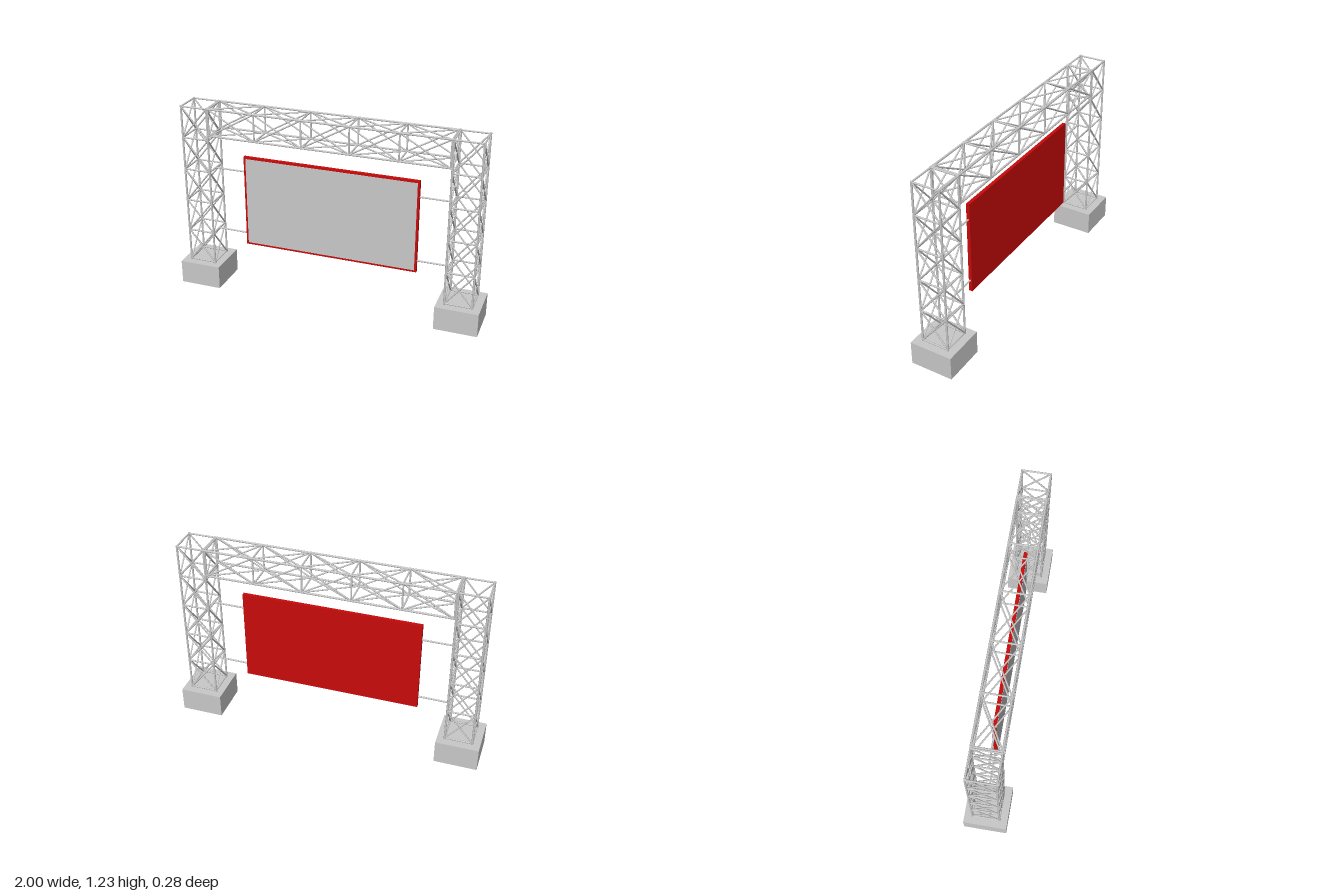
import * as THREE from 'three';

const steel = new THREE.MeshStandardMaterial({ name: 'pale grey', color: 0xc8c8c8 });
const red = new THREE.MeshStandardMaterial({ name: 'red', color: 0xc80a0a });

const CHORD = 0.0065, RUNG = 0.0055, BRACE = 0.005;
const H = 0.087; // half width of every truss, chord centre to chord centre
const TOWER_X = 0.862;
const BASE_TOP = 0.155;

function box(name, w, h, d, x, y, z, material) {
  const mesh = new THREE.Mesh(new THREE.BoxGeometry(w, h, d), material);
  mesh.name = name;
  mesh.position.set(x, y, z);
  return mesh;
}

// Round bar between two points
function rod(name, a, b, radius) {
  const dir = b.clone().sub(a);
  const mesh = new THREE.Mesh(new THREE.CylinderGeometry(radius, radius, dir.length(), 8), steel);
  mesh.name = name;
  mesh.position.copy(a).add(b).multiplyScalar(0.5);
  mesh.quaternion.setFromUnitVectors(new THREE.Vector3(0, 1, 0), dir.normalize());
  return mesh;
}

// Square box truss along y: four chords, a ring at each level, crossed braces on each face
function truss(name, levels, start, end) {
  const group = new THREE.Group();
  group.name = name;
  const corner = (i, y) => {
    const [x, z] = [[-H, -H], [H, -H], [H, H], [-H, H]][i % 4];
    return new THREE.Vector3(x, y, z);
  };
  for (let i = 0; i < 4; i++) {
    group.add(rod('chord', corner(i, start), corner(i, end), CHORD));
    levels.forEach((y, n) => {
      group.add(rod('rung', corner(i, y), corner(i + 1, y), RUNG));
      if (n === levels.length - 1) return;
      const next = levels[n + 1];
      group.add(rod('brace', corner(i, y), corner(i + 1, next), BRACE));
      group.add(rod('brace', corner(i + 1, y), corner(i, next), BRACE));
    });
  }
  return group;
}

export function createModel() {
  const model = new THREE.Group();
  model.name = 'trussGantry';

  // Towers on their footings, with arms reaching in to the panel
  const levels = [0.163, 0.377, 0.592, 0.807, 1.021, 1.226];
  for (const [side, s] of [['left', 1], ['right', -1]]) {
    model.add(box(side + 'Footing', 0.274, BASE_TOP, 0.277, s * 0.863, BASE_TOP / 2, 0, steel));
    const tower = truss(side + 'Tower', levels, BASE_TOP, 1.232);
    tower.position.x = s * TOWER_X;
    model.add(tower);
    for (const y of [0.377, 0.807]) {
      model.add(rod(side + 'PanelArm',
        new THREE.Vector3(s * 0.565, y, 0),
        new THREE.Vector3(s * (TOWER_X - H), y, 0), RUNG));
    }
  }

  // Overhead beam of five bays
  const bays = Array.from({ length: 6 }, (_, i) => -0.765 + i * 0.306);
  const beam = truss('overheadBeam', bays, -0.772, 0.772);
  beam.rotation.z = -Math.PI / 2;
  beam.position.y = 1.14;
  model.add(beam);

  // Display panel: red casing with a thin grey face set on the front
  model.add(box('panelCasing', 1.144, 0.612, 0.022, 0, 0.606, 0, red));
  model.add(box('panelFace', 1.118, 0.586, 0.004, 0, 0.606, 0.011, steel));

  return model;
}
